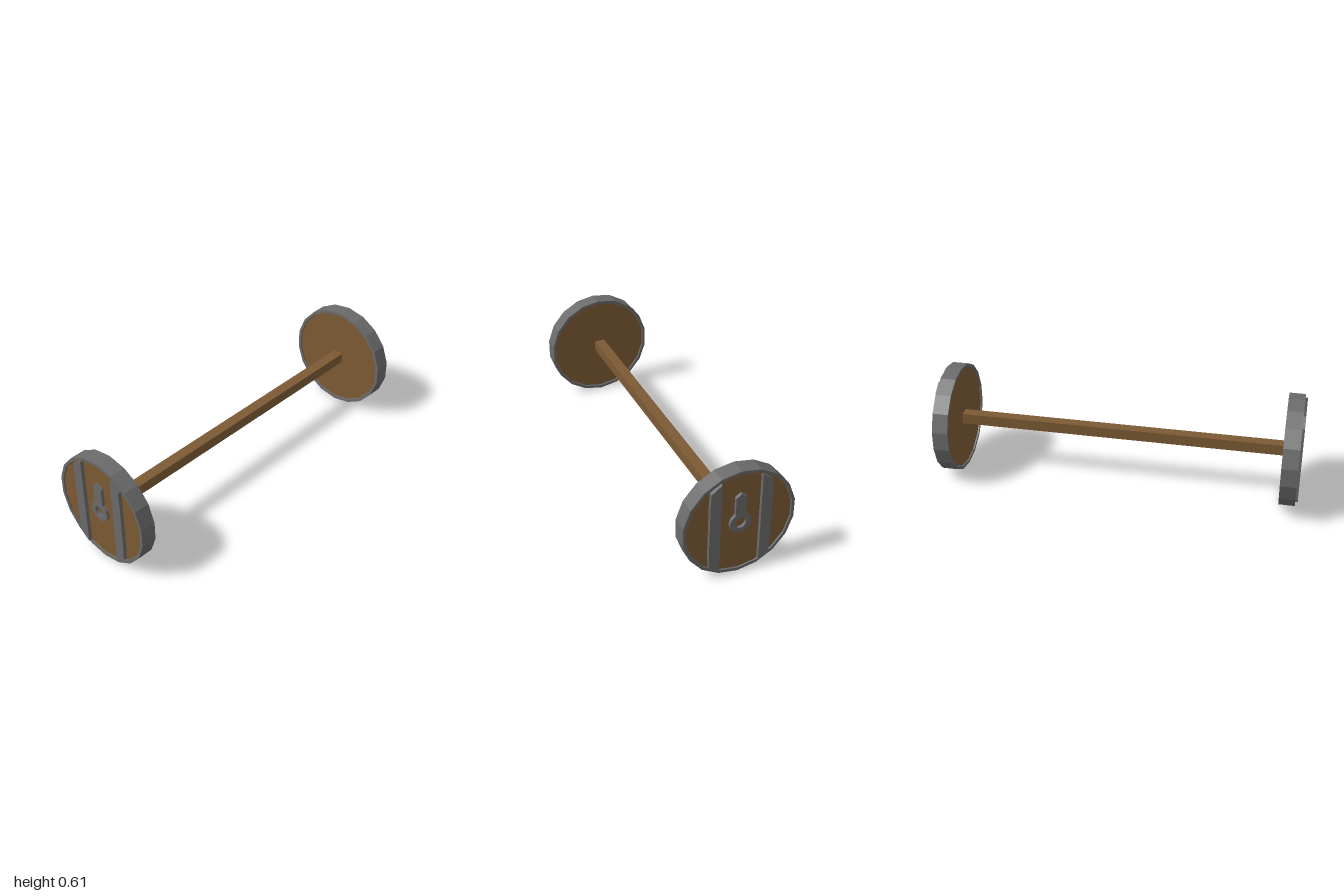
import * as THREE from 'three';

const AXLE_Y = 0.305;

// Regular polygon points with a corner pointing straight up
function ring(radius, sides) {
  return Array.from({ length: sides }, (_, i) => {
    const a = Math.PI / 2 + (i / sides) * Math.PI * 2;
    return new THREE.Vector2(radius * Math.cos(a), radius * Math.sin(a));
  });
}

// Points given as [x, y] pairs
const points = (pairs) => pairs.map(([x, y]) => new THREE.Vector2(x, y));

export function createModel() {
  const wood = new THREE.MeshStandardMaterial({ name: 'wood', color: 0x7d5a34 });
  const iron = new THREE.MeshStandardMaterial({ name: 'iron', color: 0x6b6b6b });

  // Flat plate whose thickness runs from one distance along the axle to another
  function plate(name, outline, hole, from, to, material) {
    const shape = new THREE.Shape(outline);
    if (hole) shape.holes.push(new THREE.Path(hole));
    const geometry = new THREE.ExtrudeGeometry(shape, { depth: to - from, bevelEnabled: false });
    geometry.translate(0, 0, from);
    const mesh = new THREE.Mesh(geometry, material);
    mesh.name = name;
    return mesh;
  }

  // Wheel built facing +z, later turned outwards
  function wheel(name) {
    const group = new THREE.Group();
    group.name = name;

    // Iron tyre and the wooden disc just inside it
    group.add(plate('tyre', ring(0.305, 18), ring(0.2885, 18), 0.9, 0.987, iron));
    group.add(plate('woodenDisc', ring(0.2855, 18), null, 0.907, 0.98, wood));

    // Two upright straps with ends cut to follow the tyre
    for (const side of [-1, 1]) {
      const outline = points([
        [0.108, -0.265], [0.163, -0.223], [0.167, -0.15],
        [0.167, 0.15], [0.163, 0.223], [0.108, 0.265],
      ].map(([x, y]) => [x * side, y]));
      group.add(plate('strap', outline, null, 0.975, 1, iron));
    }

    // Hub plate: a ring with a pointed tongue above it
    const hubY = 0.004;
    const lower = [];
    for (let i = 0; i <= 10; i++) {
      const a = THREE.MathUtils.degToRad(120 + i * 30);
      lower.push([0.058 * Math.cos(a), hubY + 0.058 * Math.sin(a)]);
    }
    const hubOutline = points([...lower, [0.029, 0.159], [0, 0.179], [-0.029, 0.159]]);
    const bore = ring(0.0295, 12).map((p) => p.add(new THREE.Vector2(0, hubY)));
    group.add(plate('hubPlate', hubOutline, bore, 0.975, 0.997, iron));

    group.position.y = AXLE_Y;
    return group;
  }

  const model = new THREE.Group();
  model.name = 'wheelsAndAxle';

  // Square wooden axle
  const axle = new THREE.Mesh(new THREE.BoxGeometry(1.84, 0.06, 0.06), wood);
  axle.name = 'axle';
  axle.position.y = AXLE_Y + 0.002;
  model.add(axle);

  const leftWheel = wheel('leftWheel');
  leftWheel.rotation.y = Math.PI / 2;
  const rightWheel = wheel('rightWheel');
  rightWheel.rotation.y = -Math.PI / 2;
  model.add(leftWheel, rightWheel);

  return model;
}
